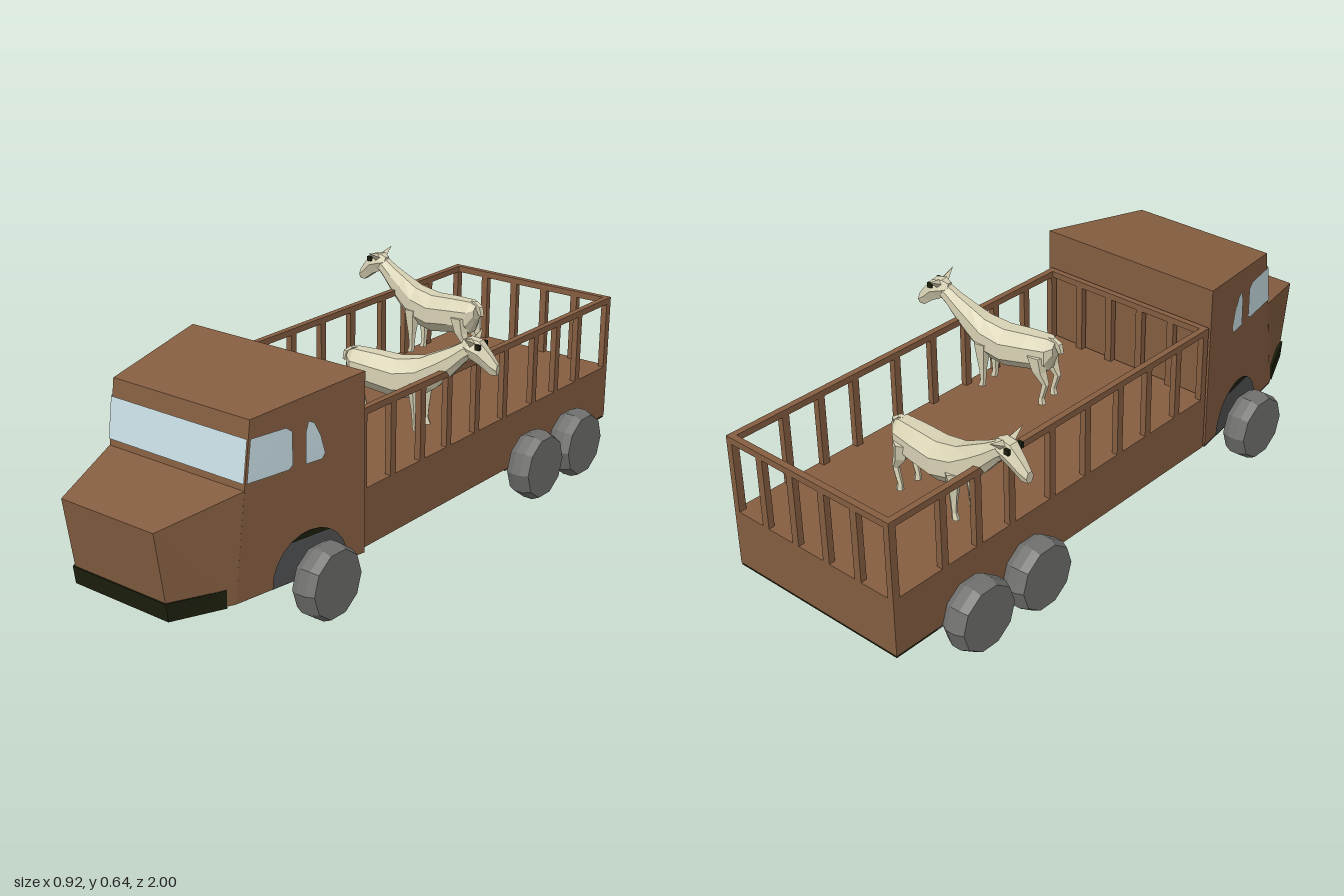
import * as THREE from 'three';

const mat = (name, color) => {
  const m = new THREE.MeshStandardMaterial({ color, side: THREE.DoubleSide, flatShading: true });
  m.name = name;
  return m;
};

export function createModel() {
  const brown = mat('brown paint', 0x855e41);
  const glass = mat('pale glass', 0xc9dfe5);
  const tyre = mat('grey rubber', 0x70706e);
  const dark = mat('dark grey', 0x505152);
  const black = mat('black trim', 0x1c1e0c);
  const hide = mat('cream hide', 0xd8d2b4);

  const model = new THREE.Group();
  model.name = 'livestockTruck';

  const add = (parent, name, geo, material, x = 0, y = 0, z = 0) => {
    const m = new THREE.Mesh(geo, material);
    m.name = name;
    m.position.set(x, y, z);
    parent.add(m);
    return m;
  };
  const box = (parent, name, w, h, d, x, y, z, material) =>
    add(parent, name, new THREE.BoxGeometry(w, h, d), material, x, y, z);

  // Skin closed rings of points, with flat end caps
  const loft = (rings) => {
    const p = [], n = rings[0].length, last = rings[rings.length - 1];
    for (let k = 0; k + 1 < rings.length; k++) {
      for (let i = 0; i < n; i++) {
        const j = (i + 1) % n, a = rings[k], b = rings[k + 1];
        p.push(...a[i], ...a[j], ...b[j], ...a[i], ...b[j], ...b[i]);
      }
    }
    for (let i = 1; i + 1 < n; i++) {
      p.push(...rings[0][0], ...rings[0][i + 1], ...rings[0][i]);
      p.push(...last[0], ...last[i], ...last[i + 1]);
    }
    const g = new THREE.BufferGeometry();
    g.setAttribute('position', new THREE.Float32BufferAttribute(p, 3));
    g.computeVertexNormals();
    return g;
  };

  // Thin plate: a flat outline moved onto a surface by a rule
  const plate = (name, pts, rule, material) => {
    const g = new THREE.ShapeGeometry(new THREE.Shape(pts.map(([u, v]) => new THREE.Vector2(u, v))));
    const pos = g.attributes.position;
    for (let i = 0; i < pos.count; i++) pos.setXYZ(i, ...rule(pos.getX(i), pos.getY(i)));
    g.computeVertexNormals();
    return add(model, name, g, material);
  };

  // Cab and nose, each lofted from a back ring to a front ring
  const quad = (x0, x1, y0, y1, z0, z1) => [[x0, y0, z0], [x1, y0, z0], [x1, y1, z1], [x0, y1, z1]];
  add(model, 'cab', loft([
    quad(-0.31, 0.33, 0.11, 0.65, 0.335, 0.335),
    quad(-0.24, 0.26, 0.11, 0.61, 0.79, 0.72)]), brown);
  add(model, 'nose', loft([
    quad(-0.24, 0.26, 0.11, 0.42, 0.79, 0.747),
    quad(-0.16, 0.18, 0.11, 0.37, 0.96, 1.0)]), brown);

  // Front bumper wrapping the foot of the nose
  const bumperRing = (y, zf) => [[-0.165, y, zf], [0.185, y, zf], [0.252, y, 0.815], [-0.232, y, 0.815]];
  add(model, 'bumper', loft([bumperRing(0.106, 0.965), bumperRing(0.16, 0.972)]), black);

  // Windows and wheel arches lie on the sloping cab faces
  const frontZ = (y) => 0.79 - (y - 0.11) * 0.14;
  const sideRule = (s, off) => (z, y) => {
    const t = (z - 0.335) / (frontZ(y) - 0.335);
    return [0.01 + s * (0.32 - 0.07 * t + off), y, z];
  };
  plate('windscreen', [[-0.24, 0.44], [0.26, 0.44], [0.26, 0.56], [-0.24, 0.56]],
    (x, y) => [x, y, frontZ(y) + 0.005], glass);
  const arc = (r, a0, a1) => Array.from({ length: 13 }, (_, i) => {
    const a = a0 + (a1 - a0) * i / 12;
    return [0.535 + r * Math.cos(a), 0.112 + r * Math.sin(a)];
  });
  for (const s of [-1, 1]) {
    plate('sideWindow', [[0.742, 0.44], [0.725, 0.56], [0.61, 0.56], [0.59, 0.545], [0.59, 0.45], [0.605, 0.44]],
      sideRule(s, 0.005), glass);
    plate('quarterWindow', [[0.547, 0.44], [0.545, 0.53], [0.535, 0.56], [0.515, 0.55], [0.495, 0.51], [0.48, 0.455], [0.49, 0.44]],
      sideRule(s, 0.005), glass);
    plate('wheelArch', arc(0.135, 0, Math.PI), sideRule(s, 0.004), dark);
    plate('archShadow', arc(0.135, 1.05, 2.09), sideRule(s, 0.007), black);
  }

  // Cargo bed
  box(model, 'bed', 0.62, 0.18, 1.325, 0, 0.2, -0.3375, brown);

  // Underside panels
  const under = (name, z0, z1, h0, h1, material) =>
    plate(name, [[-h0, z0], [h0, z0], [h1, z1], [-h1, z1]], (x, z) => [x, 0.105, z], material);
  under('frontUnderPanel', 0.335, 0.79, 0.31, 0.24, dark);
  under('noseUnderPanel', 0.79, 0.955, 0.24, 0.16, black);
  under('rearUnderPanel', -0.85, -0.4, 0.31, 0.31, dark);
  under('tailUnderPanel', -1, -0.85, 0.31, 0.31, black);

  // Stake fence: top rails and posts
  const fence = new THREE.Group();
  fence.name = 'fence';
  model.add(fence);
  for (const s of [-1, 1]) {
    box(fence, 'sideRail', 0.02, 0.02, 1.325, s * 0.3, 0.52, -0.3375, brown);
    for (const z of [0.312, 0.18, 0.04, -0.09, -0.235, -0.385, -0.55, -0.68, -0.81, -0.988]) {
      box(fence, 'sidePost', 0.02, 0.23, 0.024, s * 0.3, 0.4, z, brown);
    }
  }
  for (const z of [0.315, -0.99]) {
    box(fence, 'endRail', 0.6, 0.02, 0.02, 0, 0.52, z, brown);
    for (const x of [-0.18, -0.06, 0.06, 0.18]) box(fence, 'endPost', 0.024, 0.23, 0.02, x, 0.4, z, brown);
  }

  // Ten-sided wheels with chamfered rims
  const wheelGeo = new THREE.LatheGeometry([[0, -0.039], [0.1, -0.039], [0.111, -0.015], [0.111, 0.015], [0.1, 0.039], [0, 0.039]]
    .map(([r, y]) => new THREE.Vector2(r, y)), 10).toNonIndexed();
  wheelGeo.computeVertexNormals();
  wheelGeo.rotateZ(Math.PI / 2);
  for (const z of [0.535, -0.495, -0.73]) {
    for (const x of [-0.348, 0.36]) add(model, 'wheel', wheelGeo, tyre, x, 0.111, z);
  }

  // Goat: lofted body, head, legs, tail and ears, facing +x
  const ringX = ([x, y, hy, hz], n = 8) => Array.from({ length: n }, (_, i) => {
    const a = (i + 0.5) / n * Math.PI * 2;
    return [x, y + hy * Math.cos(a), hz * Math.sin(a)];
  });
  const ringY = ([x, y, r], z) => Array.from({ length: 5 }, (_, i) => {
    const a = i / 5 * Math.PI * 2;
    return [x + r * 1.2 * Math.sin(a), y, z + r * Math.cos(a)];
  });
  const makeGoat = () => {
    const g = new THREE.Group();
    g.name = 'goat';
    add(g, 'body', loft([
      [-0.03, 0.51, 0.025, 0.025], [-0.01, 0.49, 0.058, 0.045], [0.06, 0.485, 0.062, 0.055],
      [0.14, 0.477, 0.066, 0.06], [0.21, 0.49, 0.066, 0.052], [0.265, 0.522, 0.06, 0.038],
      [0.31, 0.555, 0.048, 0.03], [0.35, 0.59, 0.036, 0.025], [0.375, 0.605, 0.026, 0.022]].map((r) => ringX(r))), hide);
    add(g, 'head', loft([
      [0.345, 0.612, 0.018, 0.016], [0.365, 0.608, 0.034, 0.028], [0.4, 0.597, 0.04, 0.029],
      [0.435, 0.565, 0.033, 0.02], [0.455, 0.552, 0.018, 0.014]].map((r) => ringX(r, 6))), hide);
    add(g, 'tail', loft([
      [-0.045, 0.5, 0.008], [-0.035, 0.53, 0.012], [-0.015, 0.545, 0.01]].map((r) => ringY(r, 0))), hide);
    for (const s of [-1, 1]) {
      add(g, 'hindLeg', loft([
        [0.0, 0.33, 0.011], [0.002, 0.35, 0.008], [-0.012, 0.4, 0.01], [0.01, 0.44, 0.02], [0.02, 0.49, 0.026]]
        .map((r) => ringY(r, s * 0.034))), hide);
      add(g, 'frontLeg', loft([
        [0.215, 0.33, 0.011], [0.21, 0.35, 0.008], [0.21, 0.39, 0.011], [0.21, 0.43, 0.017], [0.21, 0.48, 0.024]]
        .map((r) => ringY(r, s * 0.034))), hide);
      const ear = add(g, 'ear', new THREE.ConeGeometry(0.013, 0.05, 4), hide, 0.375, 0.637, s * 0.04);
      ear.rotation.x = s * 1.1;
      box(g, 'eye', 0.016, 0.016, 0.009, 0.4, 0.618, s * 0.025, black);
    }
    return g;
  };
  const goatA = makeGoat();
  goatA.position.set(-0.005, 0, -0.64);
  goatA.rotation.y = Math.PI - 0.01;
  const goatB = makeGoat();
  goatB.position.set(0.005, 0, -0.045);
  goatB.rotation.y = 0.17;
  model.add(goatA, goatB);

  return model;
}
